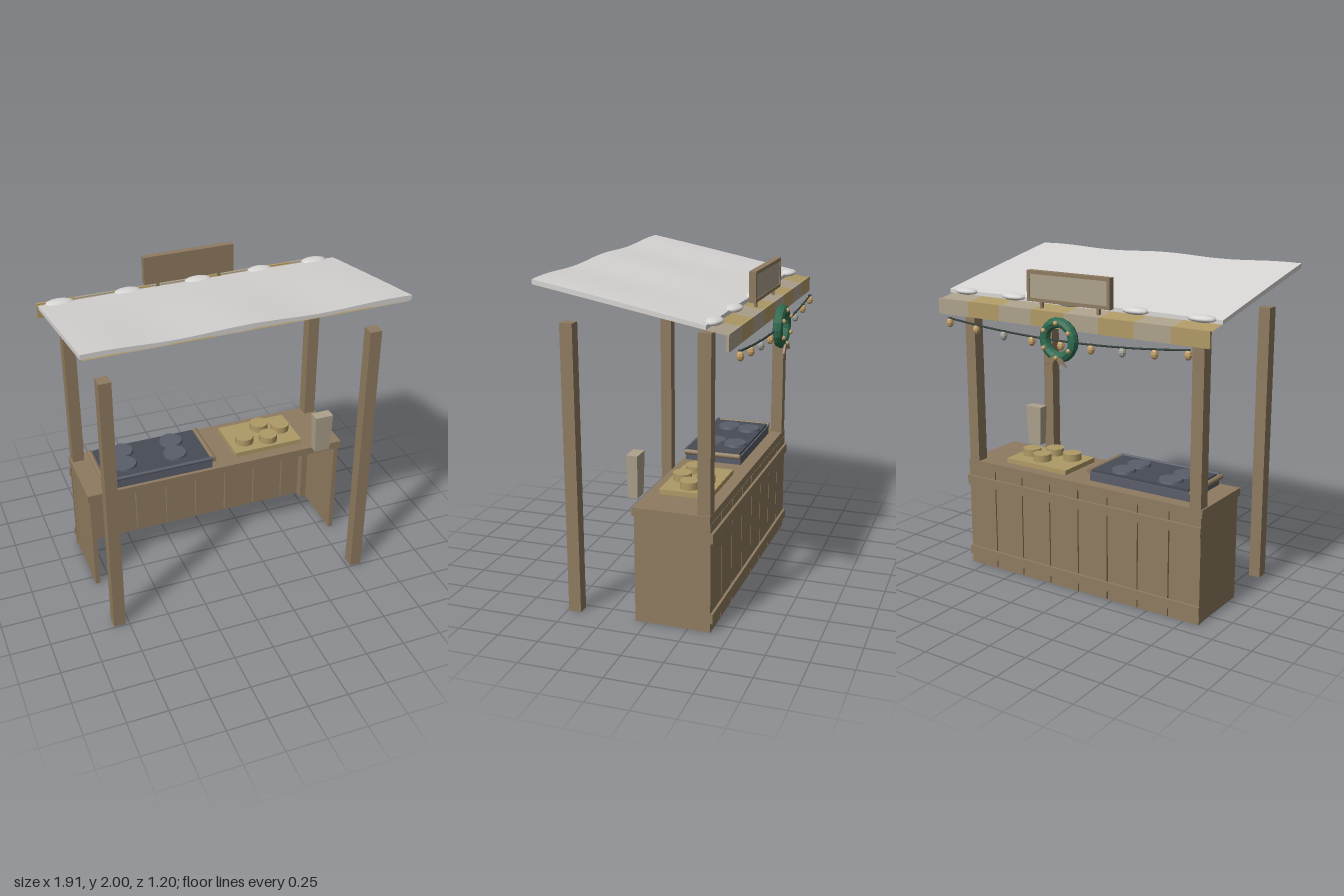
import * as THREE from 'three';

const mat = (name, color, side = THREE.FrontSide) => {
  const m = new THREE.MeshStandardMaterial({ color, side });
  m.name = name;
  return m;
};

export function createModel() {
  const wood = mat('wood', 0x8f7b60);
  const ochre = mat('ochre', 0xaf9a66, THREE.DoubleSide);
  const beige = mat('beige', 0xaca18c, THREE.DoubleSide);
  const snow = mat('snow', 0xd8d6d4);
  const slate = mat('slate', 0x5a5e6a);
  const iron = mat('darkIron', 0x484c55);
  const green = mat('green', 0x2f6a50);
  const cord = mat('cord', 0x36433f);
  const amber = mat('amber', 0xc4a068);
  const silver = mat('silver', 0xa6a69e);

  const model = new THREE.Group();
  model.name = 'marketStall';

  const add = (name, geo, material, x = 0, y = 0, z = 0, parent = model) => {
    const m = new THREE.Mesh(geo, material);
    m.name = name;
    m.position.set(x, y, z);
    parent.add(m);
    return m;
  };
  // Box given by its min and max on each axis
  const box = (name, material, x0, x1, y0, y1, z0, z1, parent = model) =>
    add(name, new THREE.BoxGeometry(x1 - x0, y1 - y0, z1 - z0), material,
      (x0 + x1) / 2, (y0 + y1) / 2, (z0 + z1) / 2, parent);
  const group = (name) => {
    const g = new THREE.Group();
    g.name = name;
    model.add(g);
    return g;
  };
  // Faceted copy of a geometry
  const flat = (geo) => {
    const g = geo.toNonIndexed();
    g.computeVertexNormals();
    return g;
  };

  // Four corner posts
  for (const x of [-0.81, 0.81])
    for (const z of [-0.347, 0.453])
      box('post', wood, x - 0.037, x + 0.037, 0, 1.74, z - 0.038, z + 0.038);

  // Counter: top, side panels, planked face and two rails
  const counter = group('counter');
  box('counterTop', wood, -0.857, 0.857, 0.66, 0.71, -0.386, 0.078, counter);
  for (const s of [-1, 1]) {
    const p = box('sidePanel', wood, 0.815, 0.845, 0, 0.66, -0.37, 0.07, counter);
    p.position.x *= s;
  }
  const pitch = 0.214;
  for (let i = 0; i < 8; i++) {
    const x = (i - 4) * pitch;
    box('facePlank', wood, x + 0.004, x + pitch - 0.004, 0, 0.66, -0.388, -0.368, counter);
  }
  for (const y of [0.06, 0.55])
    box('faceRail', wood, -0.857, 0.857, y, y + 0.058, -0.404, -0.388, counter);

  // Striped awning sheet with a hanging valance
  const roofY = (z) => 1.758 + (z + 0.5) * 0.188;
  const awning = group('awning');
  const stripe = 0.2365;
  for (let i = 0; i < 8; i++) {
    const m = i % 2 ? beige : ochre;
    const x = (i - 3.5) * stripe;
    const sheet = new THREE.PlaneGeometry(stripe, Math.hypot(1.1, 1.1 * 0.188));
    sheet.rotateX(-Math.PI / 2 - Math.atan(0.188));
    add('awningStripe', sheet, m, x, roofY(0.05), 0.05, awning);
    box('valanceStripe', m, x - stripe / 2, x + stripe / 2, 1.67, 1.765, -0.512, -0.495, awning);
  }

  // Wavy snow blanket on the awning
  const blanket = new THREE.BoxGeometry(1.914, 0.02, 0.98, 32, 1, 12);
  const p = blanket.attributes.position;
  for (let i = 0; i < p.count; i++) {
    const x = p.getX(i), z = p.getZ(i) + 0.1;
    const wave = 0.007 * Math.sin(x * 7.5 + 1.7) * Math.cos(z * 2.2 - 0.9);
    const top = p.getY(i) > 0;
    p.setXYZ(i, x, roofY(z) + (top ? 0.028 + wave : 0.004), z);
  }
  blanket.computeVertexNormals();
  add('snowBlanket', blanket, snow);
  const mounds = [[-0.83, 0.088], [-0.41, 0.085], [0.04, 0.088], [0.45, 0.083], [0.82, 0.085]];
  for (const [x, r] of mounds)
    add('snowMound', new THREE.SphereGeometry(1, 12, 8).scale(r, 0.021, 0.05), snow, x, 1.803, -0.392);

  // Sign board on two short legs, framed panel on the serving side
  const sign = group('signBoard');
  box('board', wood, -0.29, 0.29, 1.805, 1.985, -0.464, -0.432, sign);
  for (const s of [-1, 1]) {
    box('signLeg', wood, s * 0.2 - 0.009, s * 0.2 + 0.009, 1.755, 1.81, -0.457, -0.441, sign);
    box('frameSide', wood, s * 0.28 - 0.01, s * 0.28 + 0.01, 1.805, 1.985, -0.473, -0.464, sign);
    box('frameBar', wood, -0.29, 0.29, 1.895 + s * 0.08 - 0.01, 1.895 + s * 0.08 + 0.01, -0.473, -0.464, sign);
  }
  box('signPanel', beige, -0.27, 0.27, 1.825, 1.965, -0.468, -0.464, sign);

  // Sagging light string
  const lights = group('lightString');
  const cordY = (x) => 1.61 + 0.047 * (x / 0.835) ** 2;
  const path = [];
  for (let i = 0; i <= 8; i++) {
    const x = (i - 4) * 0.2085;
    path.push(new THREE.Vector3(x, cordY(x), -0.54));
  }
  add('cord', new THREE.TubeGeometry(new THREE.CatmullRomCurve3(path), 32, 0.006, 6), cord, 0, 0, 0, lights);
  path.forEach((v, i) => {
    add('bulbCap', new THREE.CylinderGeometry(0.011, 0.013, 0.018, 8), cord, v.x, v.y - 0.004, v.z, lights);
    add('bulb', flat(new THREE.SphereGeometry(1, 8, 6).scale(0.022, 0.03, 0.022)),
      i % 4 === 2 ? silver : amber, v.x, v.y - 0.027, v.z, lights);
  });

  // Wreath with berries and a bow
  const wreath = group('wreath');
  wreath.position.set(0, 1.62, -0.558);
  add('wreathRing', flat(new THREE.TorusGeometry(0.1, 0.031, 8, 18)), green, 0, 0, 0, wreath);
  for (let i = 0; i < 6; i++) {
    const a = (i / 6) * Math.PI * 2 + Math.PI / 6;
    add('berry', flat(new THREE.SphereGeometry(0.014, 8, 6)), amber,
      Math.cos(a) * 0.1, Math.sin(a) * 0.1, -0.032, wreath);
  }
  for (const s of [-1, 1]) {
    const tail = new THREE.Shape([[0.0, -0.1], [s * 0.035, -0.095], [s * 0.072, -0.148],
      [s * 0.045, -0.132], [s * 0.024, -0.14]].map(([x, y]) => new THREE.Vector2(x, y)));
    add('bowTail', new THREE.ExtrudeGeometry(tail, { depth: 0.012, bevelEnabled: false }),
      wood, 0, 0, -0.036, wreath);
  }

  // Griddle with end handles, a rail and hot plates
  const griddle = group('griddle');
  box('griddleBase', slate, -0.725, -0.035, 0.71, 0.765, -0.305, 0.055, griddle);
  box('griddleTop', iron, -0.715, -0.045, 0.765, 0.78, -0.295, 0.045, griddle);
  const bar = (r, l) => new THREE.CylinderGeometry(r, r, l, 8);
  add('griddleRail', bar(0.012, 0.7).rotateZ(Math.PI / 2), slate, -0.38, 0.776, 0.052, griddle);
  for (const x of [-0.737, -0.023])
    add('griddleHandle', bar(0.017, 0.36).rotateX(Math.PI / 2), wood, x, 0.766, -0.125, griddle);
  for (const x of [-0.56, -0.23])
    for (const [dx, z] of [[-0.01, -0.075], [0.01, -0.215]])
      add('hotPlate', new THREE.CylinderGeometry(0.072, 0.078, 0.02, 12), slate, x + dx, 0.786, z, griddle);

  // Serving board with round buns
  const board = group('servingBoard');
  box('boardSlab', ochre, 0.145, 0.605, 0.71, 0.74, -0.31, 0.005, board);
  for (const [x, z] of [[0.245, -0.1], [0.4, -0.07], [0.395, -0.215], [0.52, -0.155]])
    add('bun', new THREE.CylinderGeometry(0.06, 0.06, 0.045, 10), ochre, x, 0.7625, z, board);

  // Tapered paper bag
  const bag = new THREE.BoxGeometry(0.12, 0.26, 0.07);
  const b = bag.attributes.position;
  for (let i = 0; i < b.count; i++)
    if (b.getY(i) < 0) b.setXYZ(i, b.getX(i) * 0.82, b.getY(i), b.getZ(i) * 0.8);
  bag.computeVertexNormals();
  add('paperBag', bag, beige, 0.69, 0.848, 0.116);

  return model;
}
